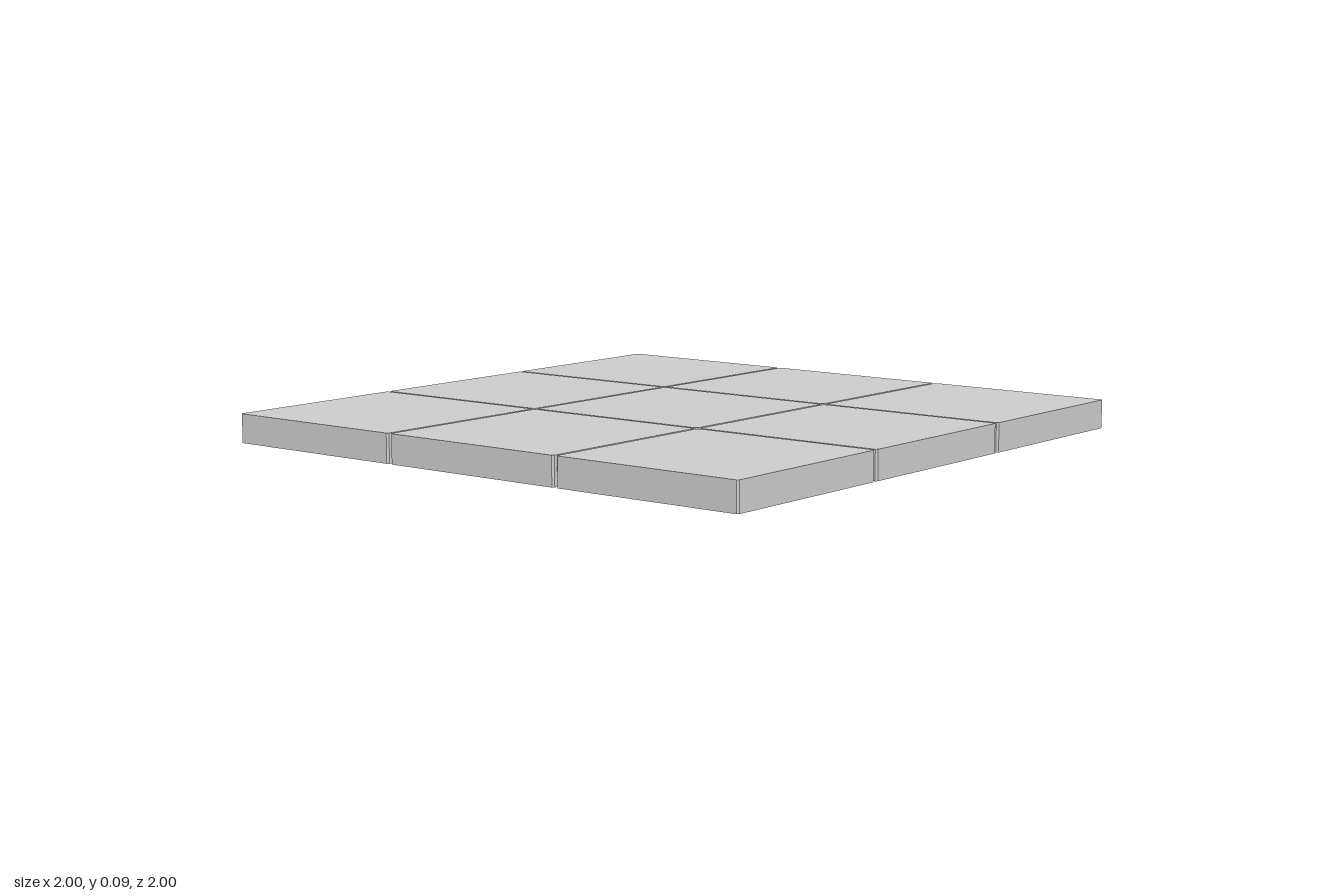
import * as THREE from 'three';

const SIZE = 0.66;      // tile side
const PITCH = 0.67;     // tile spacing, leaves a narrow joint
const HEIGHT = 0.095;
const CHAMFER = 0.006;  // clipped vertical corners

// Square slab with slightly clipped corners, standing on y = 0
function tileGeometry() {
  const h = SIZE / 2, k = h - CHAMFER;
  const outline = [[k, -h], [h, -k], [h, k], [k, h], [-k, h], [-h, k], [-h, -k], [-k, -h]];
  const shape = new THREE.Shape(outline.map(([x, y]) => new THREE.Vector2(x, y)));
  return new THREE.ExtrudeGeometry(shape, { depth: HEIGHT, bevelEnabled: false }).rotateX(-Math.PI / 2);
}

export function createModel() {
  const floor = new THREE.Group();
  floor.name = 'tiledFloor';
  const material = new THREE.MeshStandardMaterial({ color: 0xcccccc, flatShading: true });
  const geometry = tileGeometry();

  // Three by three grid of tiles
  for (let row = -1; row <= 1; row++) {
    for (let col = -1; col <= 1; col++) {
      const tile = new THREE.Mesh(geometry, material);
      tile.name = `tileRow${row + 2}Column${col + 2}`;
      tile.position.set(col * PITCH, 0, row * PITCH);
      floor.add(tile);
    }
  }
  return floor;
}
